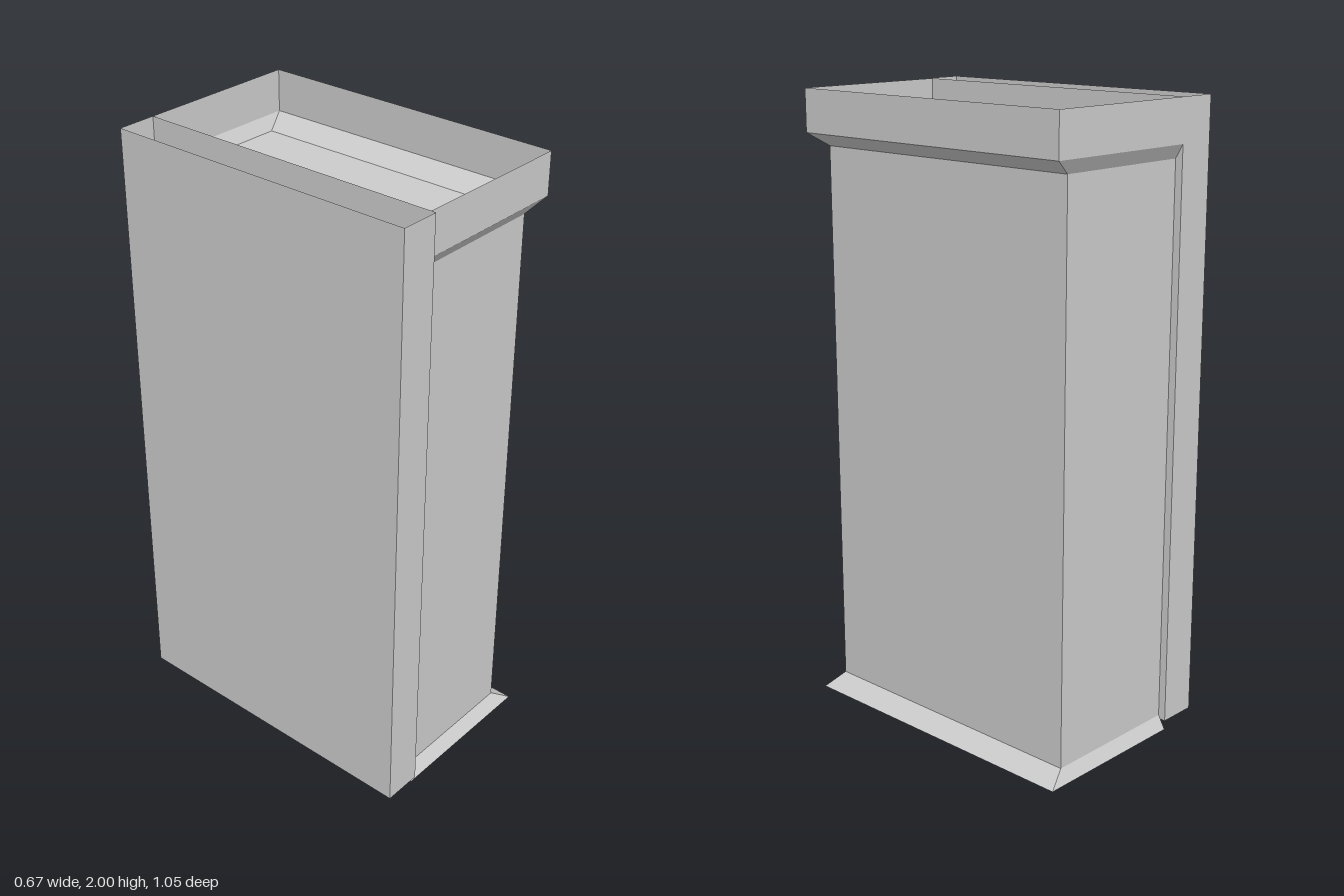
import * as THREE from 'three';

const material = new THREE.MeshStandardMaterial({
  color: 0xcccccc, flatShading: true, side: THREE.DoubleSide,
});

function addMesh(group, geometry, name) {
  const mesh = new THREE.Mesh(geometry, material);
  mesh.name = name;
  group.add(mesh);
  return mesh;
}

const INNER_X = -0.207; // plane where the body meets the side panel

// Three-sided wall (back, outer side, front) lofted through rings of
// [y, outer x, back z, front z]
function wallGeometry(rings) {
  const positions = [];
  const corners = ([y, x, back, front]) => [
    [INNER_X, y, front], [x, y, front], [x, y, back], [INNER_X, y, back],
  ];
  for (let r = 0; r < rings.length - 1; r++) {
    const low = corners(rings[r]), high = corners(rings[r + 1]);
    for (let i = 0; i < 3; i++) {
      const a = low[i], b = low[i + 1], c = high[i + 1], d = high[i];
      positions.push(...a, ...b, ...c, ...a, ...c, ...d);
    }
  }
  const geometry = new THREE.BufferGeometry();
  geometry.setAttribute('position', new THREE.Float32BufferAttribute(positions, 3));
  geometry.computeVertexNormals();
  return geometry;
}

// Horizontal or upright sheet between two x, z limits
function addSheet(group, [y, x, back, front], name, x0 = INNER_X, up = true) {
  const geometry = new THREE.PlaneGeometry(x - x0, front - back);
  geometry.rotateX(up ? -Math.PI / 2 : Math.PI / 2);
  geometry.translate((x + x0) / 2, y, (front + back) / 2);
  return addMesh(group, geometry, name);
}

export function createModel() {
  const model = new THREE.Group();
  model.name = 'cabinetShell';

  // Ring levels of the body, from the flared foot to the rim
  const foot = [0, 0.335, -0.525, 0.507];
  const bodyLow = [0.042, 0.27, -0.5, 0.475];
  const bodyHigh = [1.822, 0.27, -0.5, 0.475];
  const rimLow = [1.865, 0.335, -0.525, 0.507];
  const rimHigh = [2, 0.335, -0.525, 0.507];

  addMesh(model, wallGeometry([foot, bodyLow]), 'flaredFoot');
  addMesh(model, wallGeometry([bodyLow, bodyHigh]), 'bodyWalls');
  addMesh(model, wallGeometry([bodyHigh, rimLow, rimHigh]), 'flaredRim');
  addSheet(model, foot, 'footBase', INNER_X, false);
  addSheet(model, bodyHigh, 'trayFloor');

  // Tall hollow side panel, open at the top
  const panel = new THREE.Group();
  panel.name = 'sidePanel';
  const left = -0.335, bottom = 0.03, top = 2, back = -0.525, front = 0.522;
  const height = top - bottom, midY = (top + bottom) / 2;
  const midX = (left + INNER_X) / 2, midZ = (front + back) / 2;
  for (const [x, angle, name] of [[left, -1, 'panelOuterWall'], [INNER_X, 1, 'panelInnerWall']]) {
    const wall = new THREE.PlaneGeometry(front - back, height);
    wall.rotateY(angle * Math.PI / 2).translate(x, midY, midZ);
    addMesh(panel, wall, name);
  }
  for (const [z, angle, name] of [[front, 0, 'panelFrontWall'], [back, Math.PI, 'panelBackWall']]) {
    const wall = new THREE.PlaneGeometry(INNER_X - left, height);
    wall.rotateY(angle).translate(midX, midY, z);
    addMesh(panel, wall, name);
  }
  addSheet(panel, [bottom, INNER_X, back, front], 'panelFloor', left, false);
  model.add(panel);

  return model;
}
